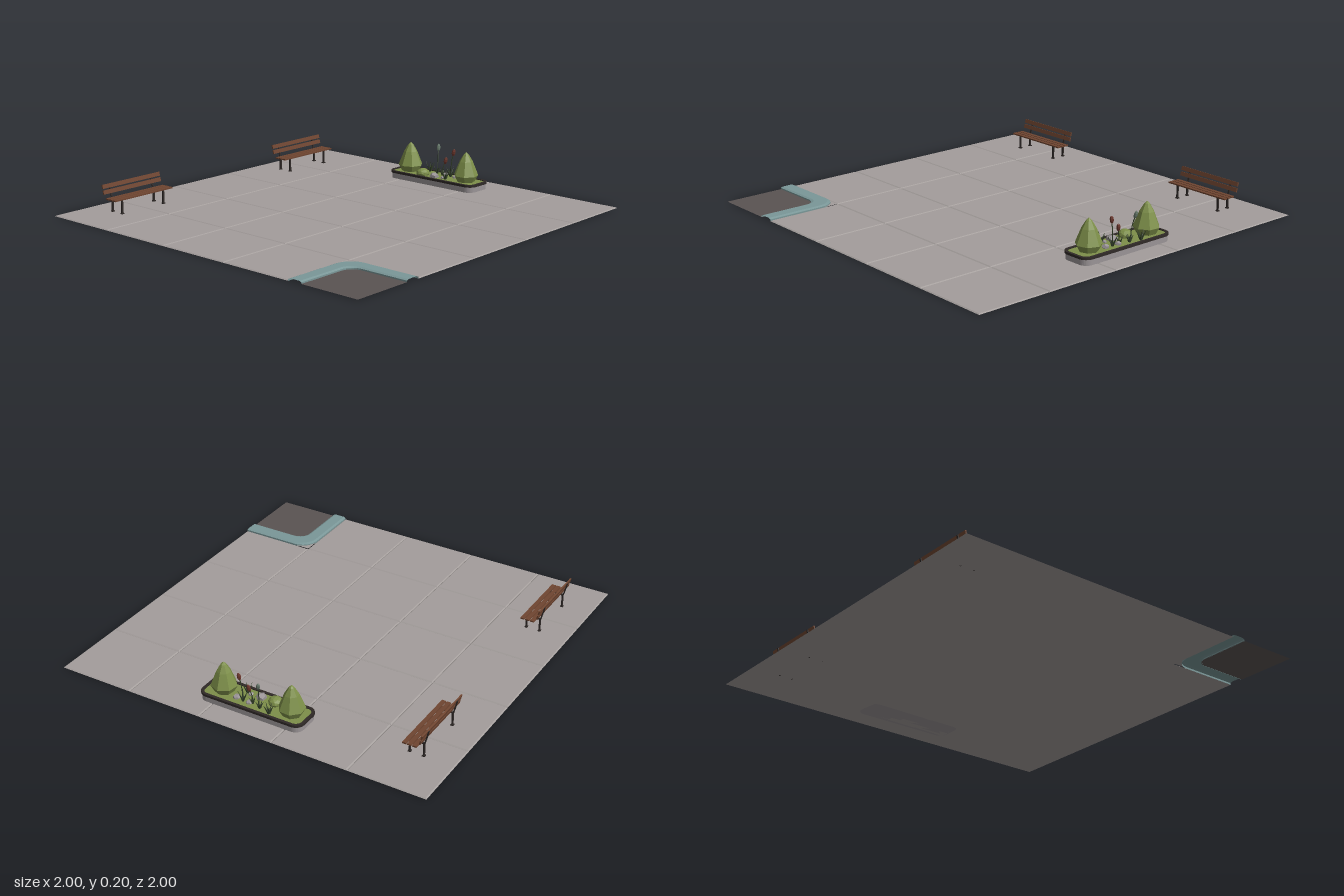
import * as THREE from 'three';

const mat = (name, color, extra = {}) => {
  const m = new THREE.MeshStandardMaterial({ color, ...extra });
  m.name = name;
  return m;
};

export function createModel() {
  const flat = { flatShading: true };
  const paving = mat('paving grey', 0xa39d9b, { ...flat, side: THREE.DoubleSide });
  const asphalt = mat('asphalt', 0x5a5352, { side: THREE.DoubleSide });
  const teal = mat('kerb teal', 0x7a9798, { ...flat, side: THREE.DoubleSide });
  const wood = mat('wood', 0x6f4530, flat);
  const iron = mat('dark iron', 0x2f2927, flat);
  const stone = mat('stone', 0x9a9496, flat);
  const grass = mat('grass green', 0x7d8f49, flat);
  const stemGreen = mat('dark stem green', 0x35422a, { ...flat, side: THREE.DoubleSide });
  const red = mat('bud red brown', 0x6a352b, flat);
  const budGreen = mat('bud grey green', 0x66786a, flat);

  const root = new THREE.Group();
  root.name = 'parkCorner';
  const add = (parent, name, geo, material, x = 0, y = 0, z = 0) => {
    const m = new THREE.Mesh(geo, material);
    m.name = name;
    m.position.set(x, y, z);
    parent.add(m);
    return m;
  };
  const group = (name, x = 0, y = 0, z = 0) => {
    const g = new THREE.Group();
    g.name = name;
    g.position.set(x, y, z);
    root.add(g);
    return g;
  };

  // Paving: 5 x 5 bevelled slabs, leaving the front right corner free
  const slabs = group('paving');
  const slabGeo = new THREE.CylinderGeometry(0.194 * Math.SQRT2, 0.2 * Math.SQRT2, 0.004, 4);
  slabGeo.rotateY(Math.PI / 4);
  for (let i = 0; i < 5; i++) for (let j = 0; j < 5; j++) {
    if (i === 0 && j === 4) continue;
    add(slabs, 'slab', slabGeo, paving, -0.8 + i * 0.4, 0.002, -0.8 + j * 0.4);
  }

  // Rounded corner path (x, z) at distance d inside the kerb's outer edge
  const cornerPath = (d) => {
    const r = 0.09 - 0.35 * d, pts = [[-1, 0.6 + d]];
    for (let k = 0; k <= 8; k++) {
      const a = (k / 8) * Math.PI / 2;
      pts.push([-0.6 - d - r + r * Math.sin(a), 0.6 + d + r - r * Math.cos(a)]);
    }
    pts.push([-0.6 - d, 1]);
    return pts;
  };
  const flatShape = (pts) => {
    const s = new THREE.Shape(pts.map(([x, z]) => new THREE.Vector2(x, -z)));
    return new THREE.ShapeGeometry(s).rotateX(-Math.PI / 2);
  };
  const corner = group('roadCorner');
  add(corner, 'road', flatShape([...cornerPath(0.076), [-1, 1]]), asphalt, 0, 0.002, 0);
  add(corner, 'cornerPaving', flatShape([...cornerPath(0).slice(1, -1), [-0.6, 0.6]]), paving, 0, 0.004, 0);

  // Kerb: bevelled section swept along the corner
  const section = [[0, 0], [0, 0.009], [0.012, 0.014], [0.068, 0.014], [0.078, 0.009], [0.078, 0.001]];
  const loops = section.map(([d, y]) => cornerPath(d).map(([x, z]) => [x, y, z]));
  const pos = [], index = [], n = loops[0].length;
  loops.forEach((l) => l.forEach((p) => pos.push(...p)));
  for (let i = 0; i < loops.length - 1; i++) for (let k = 0; k < n - 1; k++) {
    const a = i * n + k, b = a + n;
    index.push(a, b, a + 1, a + 1, b, b + 1);
  }
  const kerbGeo = new THREE.BufferGeometry();
  kerbGeo.setAttribute('position', new THREE.Float32BufferAttribute(pos, 3));
  kerbGeo.setIndex(index);
  kerbGeo.computeVertexNormals();
  add(corner, 'kerb', kerbGeo, teal);

  // Benches
  const bench = (x) => {
    const g = group('bench', x, 0, -0.81);
    for (const z of [0.04, 0.014, -0.012])
      add(g, 'seatSlat', new THREE.BoxGeometry(0.38, 0.007, 0.021), wood, 0, 0.08, z);
    for (const [y, z] of [[0.11, -0.04], [0.138, -0.047]]) {
      const s = add(g, 'backSlat', new THREE.BoxGeometry(0.38, 0.021, 0.007), wood, 0, y, z);
      s.rotation.x = -0.25;
    }
    for (const lx of [-0.137, 0.137]) {
      for (const z of [0.038, -0.034]) {
        add(g, 'leg', new THREE.BoxGeometry(0.01, 0.074, 0.007), iron, lx, 0.037, z);
        add(g, 'foot', new THREE.BoxGeometry(0.016, 0.006, 0.014), iron, lx, 0.006, z);
      }
      add(g, 'seatRail', new THREE.BoxGeometry(0.009, 0.006, 0.08), iron, lx, 0.0735, 0.002);
      const post = add(g, 'backPost', new THREE.BoxGeometry(0.009, 0.075, 0.005), iron, lx, 0.109, -0.046);
      post.rotation.x = -0.25;
    }
  };
  bench(-0.62);
  bench(0.597);

  // Planter: stone body, dark rim and planted bed
  const roundRect = (w, h, r, Type = THREE.Shape) => {
    const s = new Type(), a = w / 2 - r, b = h / 2 - r;
    s.absarc(a, b, r, 0, Math.PI / 2);
    s.absarc(-a, b, r, Math.PI / 2, Math.PI);
    s.absarc(-a, -b, r, Math.PI, Math.PI * 1.5);
    s.absarc(a, -b, r, Math.PI * 1.5, Math.PI * 2);
    s.closePath();
    return s;
  };
  const slab = (shape, depth) => new THREE.ExtrudeGeometry(shape, { depth, bevelEnabled: false, curveSegments: 4 })
    .rotateX(-Math.PI / 2);
  const planter = group('planter', 0.805, 0, 0);
  add(planter, 'planterBody', slab(roundRect(0.16, 0.556, 0.042), 0.034), stone);
  const rim = roundRect(0.168, 0.566, 0.046);
  rim.holes.push(roundRect(0.138, 0.536, 0.032, THREE.Path));
  add(planter, 'planterRim', slab(rim, 0.012), iron, 0, 0.033, 0);
  add(planter, 'grassBed', slab(roundRect(0.14, 0.538, 0.033), 0.008), grass, 0, 0.033, 0);

  // Pointed shrubs at both ends
  const profile = [[0, 0.04], [0.048, 0.042], [0.066, 0.075], [0.056, 0.1], [0.036, 0.15], [0.014, 0.187], [0, 0.2]];
  const shrubGeo = new THREE.LatheGeometry(profile.map((p) => new THREE.Vector2(...p)), 7);
  for (const z of [0.185, -0.192]) add(planter, 'shrub', shrubGeo, grass, 0, 0, z).rotation.y = z * 4;

  // Low round bush and pebbles
  add(planter, 'roundBush', new THREE.IcosahedronGeometry(0.036, 1), grass, -0.03, 0.05, -0.082).scale.y = 0.75;
  for (const [x, z, r] of [[-0.035, 0, 0.026], [0.024, 0.1, 0.018], [0.03, 0.025, 0.016], [-0.03, 0.055, 0.012]]) {
    const p = add(planter, 'pebble', new THREE.DodecahedronGeometry(r), stone, x, 0.045, z);
    p.scale.set(1, 0.8, 1.15);
    p.rotation.y = r * 90;
  }

  // Tall stems, each with a bud
  for (const [x, z, h, lx, lz, m] of [[0.03, 0.06, 0.17, 0.005, 0.014, red],
    [0.045, -0.04, 0.175, 0.02, -0.012, budGreen], [0.02, 0.01, 0.12, 0.01, 0.015, red]]) {
    const curve = new THREE.QuadraticBezierCurve3(new THREE.Vector3(x, 0.04, z),
      new THREE.Vector3(x, h * 0.7, z), new THREE.Vector3(x + lx, h, z + lz));
    add(planter, 'stem', new THREE.TubeGeometry(curve, 5, 0.0025, 5), stemGreen);
    const bud = add(planter, 'bud', new THREE.SphereGeometry(0.01, 6, 5), m, x + lx, h + 0.004, z + lz);
    bud.scale.y = 2;
    bud.rotation.set(lz * 12, 0, -lx * 12);
  }

  // Leaf tufts
  for (const [x, z, h] of [[0.055, -0.1, 0.06], [0.04, -0.04, 0.045], [-0.035, 0.075, 0.06],
    [0.03, 0.06, 0.06], [0.025, 0.01, 0.04]]) {
    for (let k = 0; k < 5; k++) {
      const a = k * 1.257 + z * 20, leaf = new THREE.ConeGeometry(0.006, h, 4);
      leaf.translate(0, h / 2, 0).rotateZ(-0.45).rotateY(a);
      add(planter, 'leaf', leaf, stemGreen, x, 0.04, z);
    }
  }
  return root;
}
